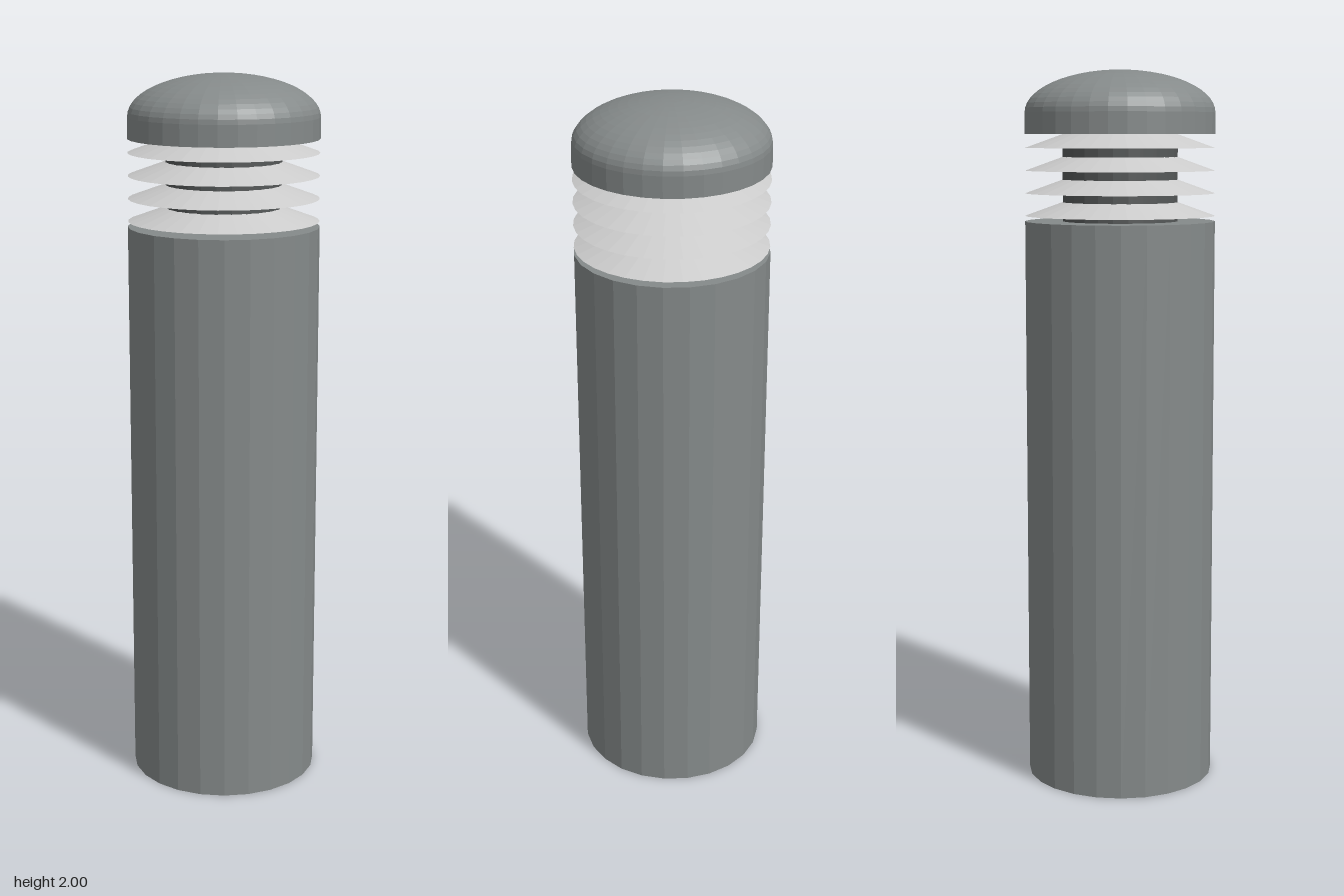
import * as THREE from 'three';

const paint = (color) => new THREE.MeshStandardMaterial({ color, flatShading: true });

export function createModel() {
  const group = new THREE.Group();
  const R = 0.263;
  const body = paint(0x858a8a);
  const dark = paint(0x555858);
  const light = paint(0xcccccc);

  const add = (name, geometry, material, y) => {
    const mesh = new THREE.Mesh(geometry, material);
    mesh.name = name;
    mesh.position.y = y;
    group.add(mesh);
    return mesh;
  };

  // Faceted post, turned so that a flat faces the front
  const post = add('post', new THREE.CylinderGeometry(0.264, 0.264, 1.587, 24), body, 1.587 / 2);
  post.rotation.y = Math.PI / 24;

  // Inner lamp core between post and cap
  add('core', new THREE.CylinderGeometry(0.16, 0.16, 0.25, 24), dark, 1.707);

  // Stacked louvre rings: sloped top, flat underside
  for (let i = 0; i < 4; i++) {
    const profile = [[0.15, 0], [R, 0], [0.155, 0.039], [0.15, 0.039]]
      .map(([r, y]) => new THREE.Vector2(r, y));
    add(`louvre${i + 1}`, new THREE.LatheGeometry(profile, 32), light, 1.602 + i * 0.062);
  }

  // Domed cap: flat underside, short straight rim, elliptical top
  const rimHeight = 0.058, domeHeight = 0.116;
  const profile = [new THREE.Vector2(0, 0), new THREE.Vector2(R, 0)];
  const rings = 14;
  for (let i = 0; i <= rings; i++) {
    const a = (i / rings) * Math.PI / 2;
    const r = i === rings ? 0 : R * Math.cos(a);
    profile.push(new THREE.Vector2(r, rimHeight + domeHeight * Math.sin(a)));
  }
  add('cap', new THREE.LatheGeometry(profile, 32), body, 1.826);

  return group;
}
